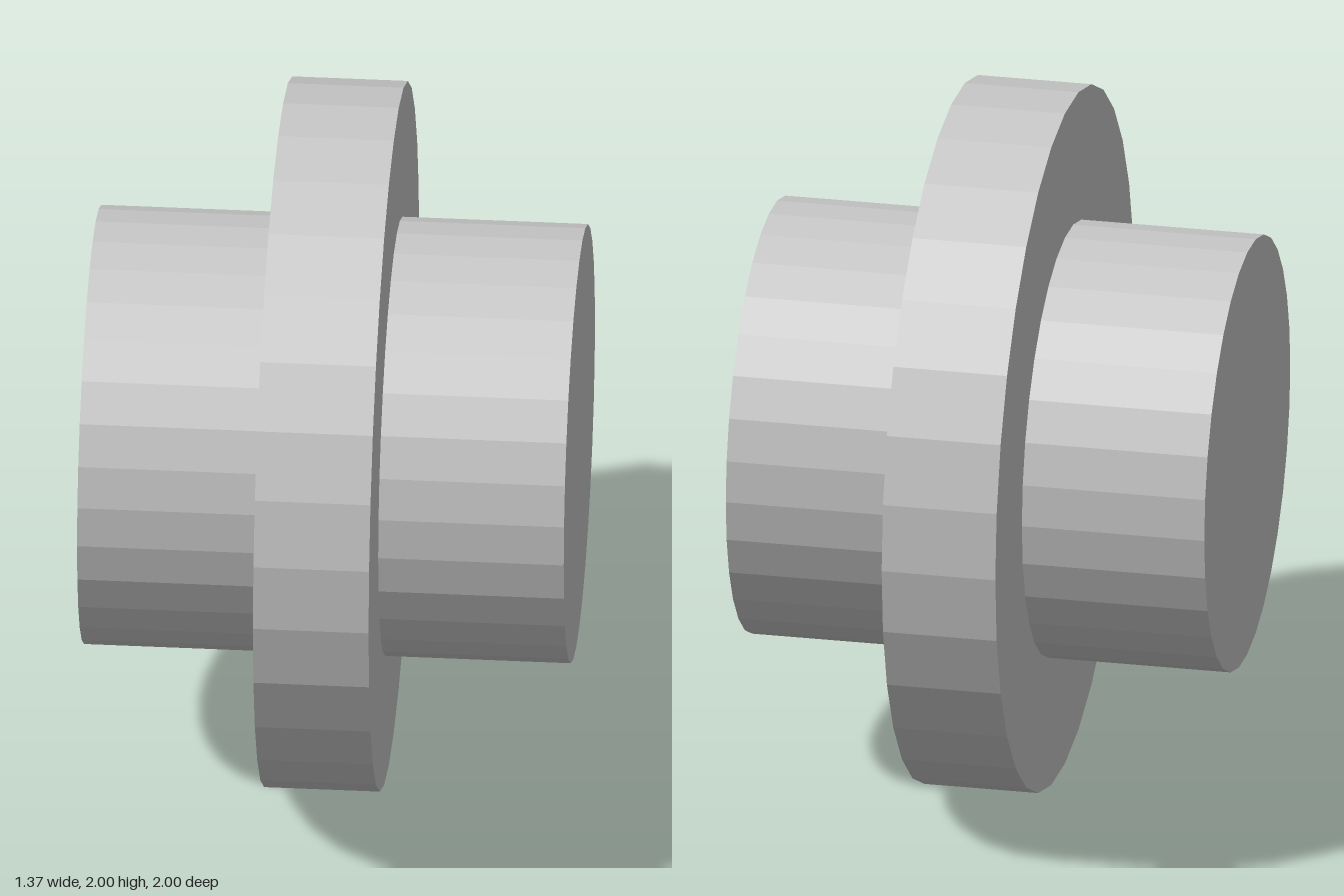
import * as THREE from 'three';

const SIDES = 32;
const DISC_HALF = 0.163; // half thickness of the wide disc
const HUB_END = 0.686; // distance from the centre to each hub's end face

export function createModel() {
  const group = new THREE.Group();
  const material = new THREE.MeshStandardMaterial({ color: 0xcccccc, flatShading: true });

  // Faceted cylinder lying along x, between x0 and x1
  const addCylinder = (name, radius, x0, x1) => {
    const geometry = new THREE.CylinderGeometry(radius, radius, x1 - x0, SIDES);
    geometry.rotateZ(-Math.PI / 2);
    const mesh = new THREE.Mesh(geometry, material);
    mesh.name = name;
    mesh.position.set((x0 + x1) / 2, 1, 0);
    group.add(mesh);
  };

  // Wide central disc
  addCylinder('disc', 1, -DISC_HALF, DISC_HALF);

  // Matching hubs on both faces of the disc
  addCylinder('leftHub', 0.618, DISC_HALF, HUB_END);
  addCylinder('rightHub', 0.618, -HUB_END, -DISC_HALF);

  return group;
}
